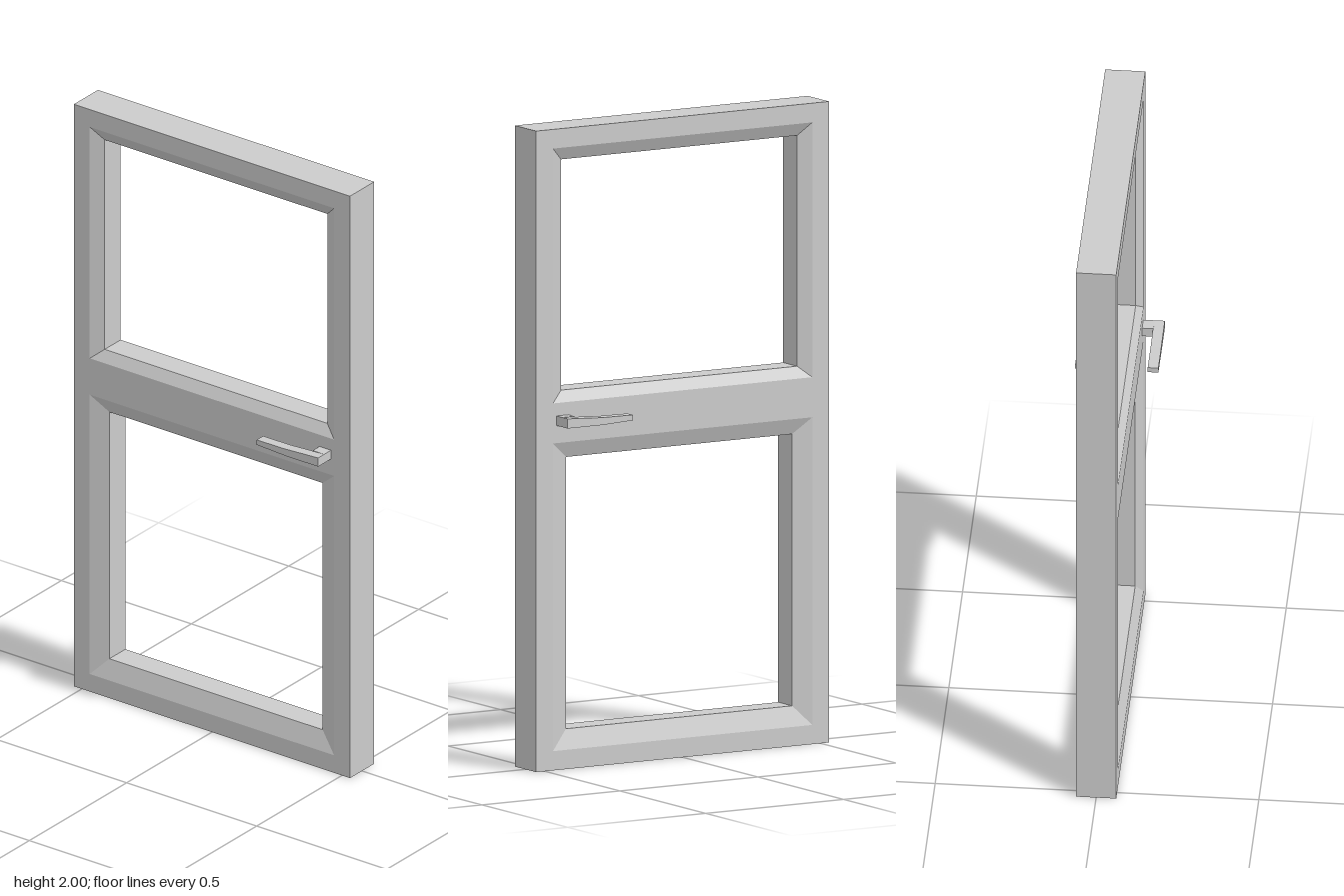
import * as THREE from 'three';

const FACE = 0.062;  // half thickness at the flat faces
const CORE = 0.041;  // half thickness where the bevels end
const grey = new THREE.MeshStandardMaterial({ color: 0xcccccc, flatShading: true });

// Rectangles facing along x: half width in z, bottom, top
const outline = { z: 0.531, y0: 0, y1: 2 };
const openings = [
  { name: 'upperOpening', outer: { z: 0.47, y0: 1.145, y1: 1.94 }, inner: { z: 0.428, y0: 1.18, y1: 1.9 } },
  { name: 'lowerOpening', outer: { z: 0.47, y0: 0.06, y1: 1.02 }, inner: { z: 0.41, y0: 0.122, y1: 0.97 } },
];

const corners = ({ z, y0, y1 }) => [[-z, y0], [z, y0], [z, y1], [-z, y1]];

function addMesh(group, name, geometry) {
  const mesh = new THREE.Mesh(geometry, grey);
  mesh.name = name;
  group.add(mesh);
  return mesh;
}

// Joins rectangular rings [x, rect]; rising x faces inward, falling x outward
function loft(rings) {
  const pos = [];
  for (let r = 0; r + 1 < rings.length; r++) {
    const [xa, ra] = rings[r], [xb, rb] = rings[r + 1];
    const A = corners(ra), B = corners(rb);
    for (let i = 0; i < 4; i++) {
      const j = (i + 1) % 4;
      const p = (x, [z, y]) => [x, y, z];
      const a = p(xa, A[i]), b = p(xa, A[j]), c = p(xb, B[j]), d = p(xb, B[i]);
      pos.push(...a, ...b, ...c, ...a, ...c, ...d);
    }
  }
  const g = new THREE.BufferGeometry();
  g.setAttribute('position', new THREE.Float32BufferAttribute(pos, 3));
  g.computeVertexNormals();
  return g;
}

export function createModel() {
  const model = new THREE.Group();
  model.name = 'door';

  // Flat faces with two openings
  const points = (rect) => corners(rect).map(([z, y]) => new THREE.Vector2(z, y));
  const face = new THREE.Shape(points(outline));
  for (const o of openings) face.holes.push(new THREE.Path(points(o.outer)));
  for (const side of [1, -1]) {
    const g = new THREE.ShapeGeometry(face).rotateY(side * Math.PI / 2).translate(side * FACE, 0, 0);
    addMesh(model, side > 0 ? 'leftFace' : 'rightFace', g);
  }

  // Outer edge of the frame, then the bevelled reveals
  addMesh(model, 'outerEdge', loft([[FACE, outline], [-FACE, outline]]));
  for (const { name, outer, inner } of openings) {
    addMesh(model, name, loft([[-FACE, outer], [-CORE, inner], [CORE, inner], [FACE, outer]]));
  }

  // Tapered lever profile, drawn in z and y
  const lever = new THREE.Shape([
    [0.458, 1.075], [0.33, 1.075], [0.222, 1.08], [0.222, 1.097],
    [0.33, 1.098], [0.4, 1.102], [0.458, 1.105],
  ].map(([z, y]) => new THREE.Vector2(-z, y)));

  // One handle on each side
  for (const side of [1, -1]) {
    const handle = new THREE.Group();
    handle.name = side > 0 ? 'leftHandle' : 'rightHandle';
    const stem = addMesh(handle, 'stem', new THREE.BoxGeometry(0.038, 0.03, 0.044));
    stem.position.set(side * 0.078, 1.09, 0.436);
    const bar = addMesh(handle, 'lever',
      new THREE.ExtrudeGeometry(lever, { depth: 0.033, bevelEnabled: false }).rotateY(Math.PI / 2));
    bar.position.x = side * 0.112 - 0.0165;
    model.add(handle);
  }
  return model;
}
